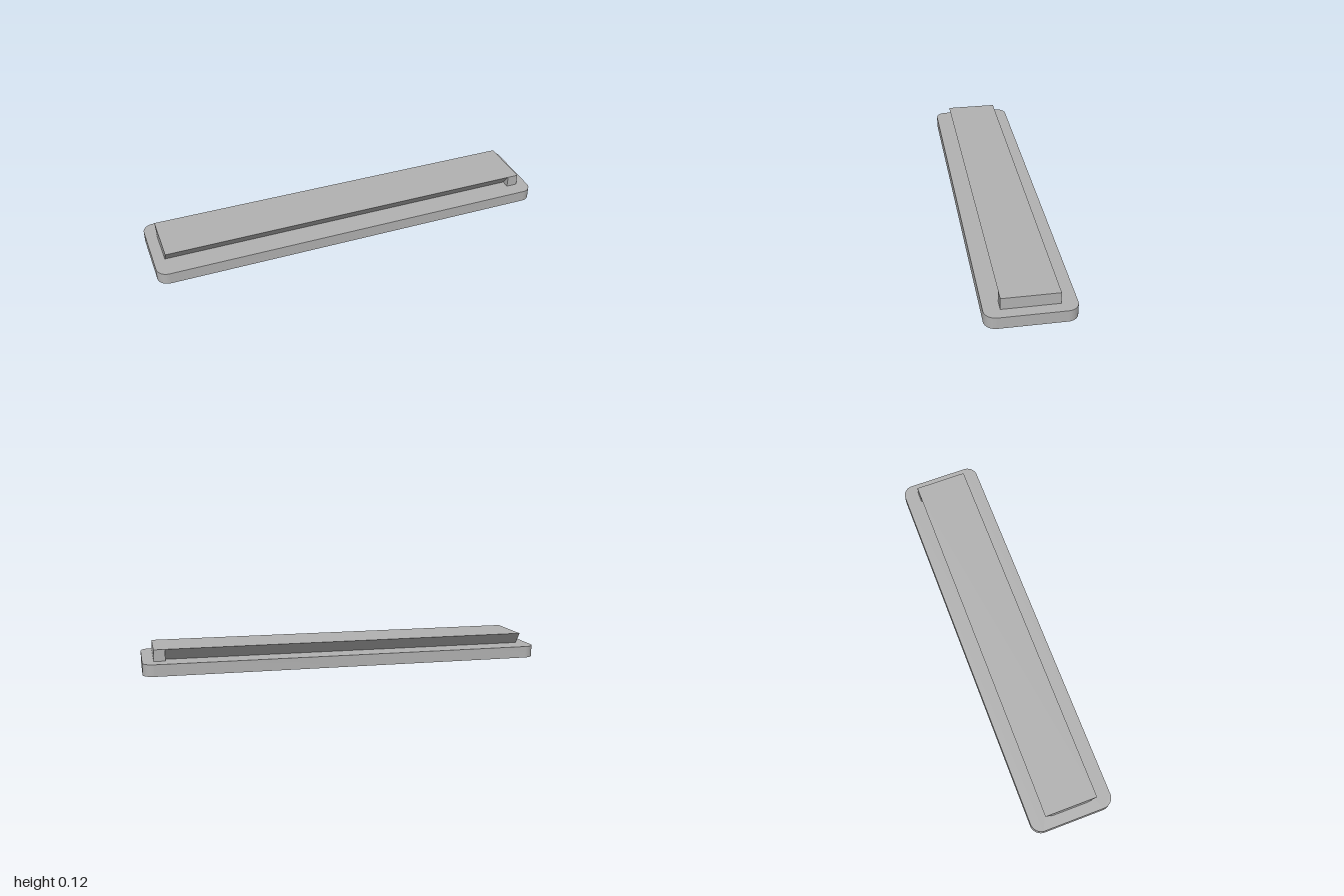
import * as THREE from 'three';
import { toCreasedNormals } from 'three/addons/utils/BufferGeometryUtils.js';

const LENGTH = 2, DEPTH = 0.416, CORNER = 0.055;
const BASE_TOP = 0.058, RAIL_TOP = 0.115;
const RAIL_END = 0.945, STOP_START = 0.89;
const RAIL_HALF = 0.133, UNDERCUT = 0.042;

// Rounded rectangle centred on the origin
function roundedRect(w, d, r) {
  const x = w / 2 - r, y = d / 2 - r;
  const s = new THREE.Shape();
  s.absarc(x, y, r, 0, Math.PI / 2);
  s.absarc(-x, y, r, Math.PI / 2, Math.PI);
  s.absarc(-x, -y, r, Math.PI, Math.PI * 1.5);
  s.absarc(x, -y, r, Math.PI * 1.5, Math.PI * 2);
  s.closePath();
  return s;
}

export function createModel() {
  const model = new THREE.Group();
  model.name = 'dovetailPlate';
  const grey = new THREE.MeshStandardMaterial({ color: 0xb2b2b2 });
  grey.name = 'grey';

  const add = (name, geometry) => {
    const mesh = new THREE.Mesh(geometry, grey);
    mesh.name = name;
    model.add(mesh);
    return mesh;
  };

  // Base plate with two screw holes, closed above by the rail
  const outline = roundedRect(LENGTH, DEPTH, CORNER);
  for (const x of [-0.735, 0.735]) {
    outline.holes.push(new THREE.Path().absarc(x, 0, 0.033, 0, Math.PI * 2, true));
  }
  const base = new THREE.ExtrudeGeometry(outline, {
    depth: BASE_TOP, bevelEnabled: false, curveSegments: 16,
  });
  base.rotateX(-Math.PI / 2);
  add('basePlate', toCreasedNormals(base, 0.6));

  // Dovetail rail, wider at the top than at the foot
  const foot = RAIL_HALF - UNDERCUT;
  const section = new THREE.Shape([
    new THREE.Vector2(-foot, BASE_TOP),
    new THREE.Vector2(foot, BASE_TOP),
    new THREE.Vector2(RAIL_HALF, RAIL_TOP),
    new THREE.Vector2(-RAIL_HALF, RAIL_TOP),
  ]);
  const rail = new THREE.ExtrudeGeometry(section, {
    depth: RAIL_END + STOP_START, bevelEnabled: false,
  });
  rail.rotateY(Math.PI / 2).translate(-RAIL_END, 0, 0);
  add('dovetailRail', rail);

  // Square end stop that closes the rail
  const stop = add('endStop', new THREE.BoxGeometry(
    RAIL_END - STOP_START, RAIL_TOP - BASE_TOP, RAIL_HALF * 2));
  stop.position.set((RAIL_END + STOP_START) / 2, (RAIL_TOP + BASE_TOP) / 2, 0);

  return model;
}
